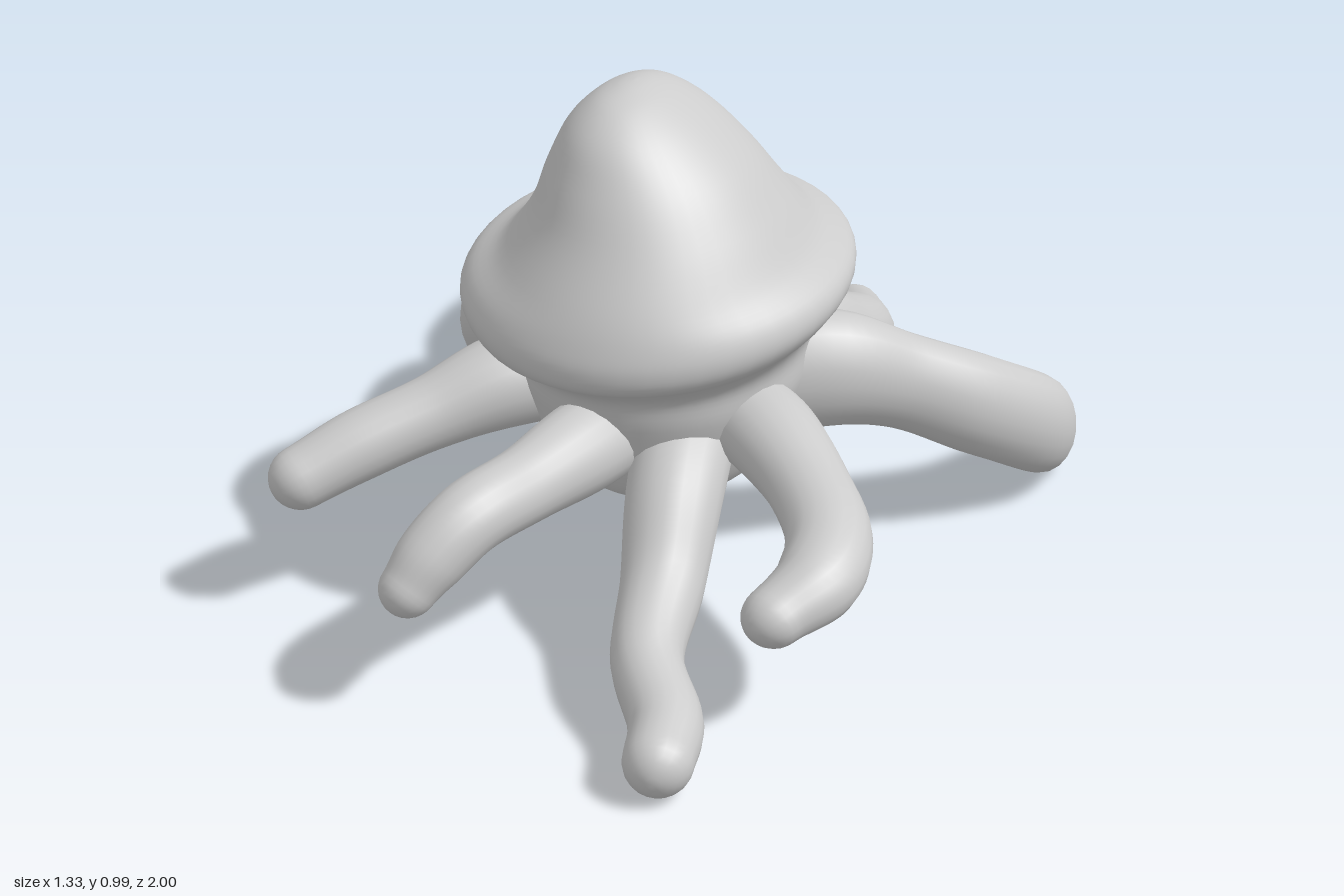
import * as THREE from 'three';
import { mergeVertices } from 'three/addons/utils/BufferGeometryUtils.js';

const material = new THREE.MeshStandardMaterial({ color: 0xcccccc });

// Skin a list of closed rings (equal point counts) into one smooth surface
function loft(name, rings) {
  const n = rings[0].length, index = [];
  for (let i = 0; i < rings.length - 1; i++) {
    for (let j = 0; j < n; j++) {
      const k = (j + 1) % n;
      const a = i * n + j, b = i * n + k, c = a + n, d = b + n;
      index.push(a, c, b, b, c, d);
    }
  }
  let geometry = new THREE.BufferGeometry().setFromPoints(rings.flat());
  geometry.setIndex(index);
  geometry = mergeVertices(geometry, 1e-5);
  geometry.computeVertexNormals();
  const mesh = new THREE.Mesh(geometry, material);
  mesh.name = name;
  return mesh;
}

// Smooth value through evenly spaced knots, u from 0 to 1
function sample(values, u) {
  const f = u * (values.length - 1);
  const i = Math.min(Math.floor(f), values.length - 2);
  const at = (k) => values[Math.max(0, Math.min(values.length - 1, k))];
  const t = f - i, p0 = at(i - 1), p1 = at(i), p2 = at(i + 1), p3 = at(i + 2);
  const m1 = (p2 - p0) / 2, m2 = (p3 - p1) / 2;
  return (2 * t ** 3 - 3 * t * t + 1) * p1 + (t ** 3 - 2 * t * t + t) * m1
    + (3 * t * t - 2 * t ** 3) * p2 + (t ** 3 - t * t) * m2;
}

// Stack of ellipses: [y, xMin, xMax, zMin, zMax, forward tilt]
function stack(name, rows, steps) {
  const rings = [];
  for (let s = 0; s <= steps; s++) {
    const [y, x0, x1, z0, z1, tilt] = rows[0].map((_, c) => sample(rows.map((r) => r[c]), s / steps));
    const cx = (x0 + x1) / 2, cz = (z0 + z1) / 2, rx = (x1 - x0) / 2, rz = (z1 - z0) / 2;
    const ring = [];
    for (let j = 0; j < 48; j++) {
      const a = (j / 48) * Math.PI * 2;
      ring.push(new THREE.Vector3(cx + rx * Math.cos(a), y - tilt * rz * Math.sin(a), cz + rz * Math.sin(a)));
    }
    rings.push(ring);
  }
  return loft(name, rings);
}

// Tapered arm with a rounded tip; points are [x, y, z, radius], tall stretches its height
function tentacle(name, points, tall = 1) {
  const curve = new THREE.CatmullRomCurve3(points.map((p) => new THREE.Vector3(p[0], p[1], p[2])));
  const radii = points.map((p) => p[3]);
  const up = new THREE.Vector3(0, 1, 0), rings = [], steps = 36, caps = 7;
  const addRing = (centre, t, r) => {
    const n = new THREE.Vector3().crossVectors(t, up).normalize();
    const b = new THREE.Vector3().crossVectors(n, t);
    const ring = [];
    for (let j = 0; j < 20; j++) {
      const a = (j / 20) * Math.PI * 2;
      ring.push(centre.clone().addScaledVector(n, r * Math.cos(a)).addScaledVector(b, r * tall * Math.sin(a)));
    }
    rings.push(ring);
  };
  for (let s = 0; s <= steps; s++) {
    addRing(curve.getPoint(s / steps), curve.getTangent(s / steps), sample(radii, s / steps));
  }
  const end = curve.getPoint(1), dir = curve.getTangent(1), r = radii[radii.length - 1];
  for (let s = 1; s <= caps; s++) {
    const a = (s / caps) * Math.PI / 2;
    addRing(end.clone().addScaledVector(dir, r * Math.sin(a)), dir, r * Math.cos(a));
  }
  return loft(name, rings);
}

export function createModel() {
  const group = new THREE.Group();
  group.name = 'octopus';

  // Rounded belly, pinched neck, thick rolled brim and bell-shaped dome
  group.add(stack('body', [
    [0.175, 0.01, 0.01, 0.16, 0.16, 0],
    [0.187, -0.09, 0.10, 0.05, 0.28, 0],
    [0.235, -0.17, 0.18, -0.03, 0.39, 0],
    [0.32, -0.23, 0.23, -0.09, 0.44, 0],
    [0.41, -0.27, 0.265, -0.13, 0.47, 0],
    [0.48, -0.28, 0.27, -0.14, 0.485, 0.03],
    [0.525, -0.31, 0.29, -0.15, 0.53, 0.05],
    [0.565, -0.345, 0.325, -0.17, 0.575, 0.08],
    [0.605, -0.37, 0.35, -0.2, 0.585, 0.085],
    [0.645, -0.352, 0.342, -0.195, 0.575, 0.075],
    [0.69, -0.28, 0.29, -0.125, 0.548, 0.04],
    [0.77, -0.22, 0.235, -0.05, 0.495, 0.02],
    [0.85, -0.19, 0.175, 0.0, 0.445, 0],
    [0.92, -0.155, 0.10, 0.05, 0.395, 0],
    [0.965, -0.11, 0.035, 0.11, 0.335, 0],
    [0.985, -0.07, -0.01, 0.17, 0.27, 0],
    [0.99, -0.04, -0.04, 0.22, 0.22, 0],
  ], 80));

  // Matching pair of broad side arms sweeping backward
  for (const [side, label] of [[1, 'left'], [-1, 'right']]) {
    group.add(tentacle(label + 'SideTentacle', [
      [0.10 * side, 0.38, 0.16, 0.09], [0.27 * side, 0.395, 0.06, 0.09],
      [0.39 * side, 0.345, -0.04, 0.073], [0.51 * side, 0.265, -0.15, 0.076],
      [0.59 * side, 0.17, -0.29, 0.074], [0.57 * side, 0.08, -0.42, 0.062],
    ], 1.3));
  }

  // Rear arms: one long and arched, one short and drooping
  group.add(tentacle('rightBackTentacle', [
    [-0.10, 0.44, 0.06, 0.09], [-0.165, 0.46, -0.13, 0.085], [-0.22, 0.51, -0.29, 0.08],
    [-0.28, 0.575, -0.45, 0.075], [-0.335, 0.55, -0.62, 0.067],
    [-0.395, 0.435, -0.82, 0.06], [-0.51, 0.35, -0.955, 0.049],
  ]));
  group.add(tentacle('leftBackTentacle', [
    [0.10, 0.38, 0.06, 0.09], [0.14, 0.365, -0.13, 0.095], [0.16, 0.28, -0.28, 0.098],
    [0.16, 0.23, -0.41, 0.088], [0.135, 0.21, -0.50, 0.07], [0.10, 0.19, -0.585, 0.06],
  ]));

  // Front corner arms
  group.add(tentacle('leftFrontCornerTentacle', [
    [0.10, 0.38, 0.20, 0.09], [0.26, 0.375, 0.31, 0.09], [0.38, 0.345, 0.42, 0.077],
    [0.46, 0.315, 0.53, 0.077], [0.475, 0.29, 0.63, 0.075], [0.435, 0.265, 0.725, 0.058],
  ], 0.9));
  group.add(tentacle('rightFrontCornerTentacle', [
    [-0.10, 0.40, 0.20, 0.09], [-0.25, 0.40, 0.34, 0.09], [-0.36, 0.36, 0.45, 0.07],
    [-0.46, 0.32, 0.55, 0.067], [-0.535, 0.28, 0.635, 0.06],
  ]));

  // Front arms
  group.add(tentacle('rightFrontTentacle', [
    [0.0, 0.36, 0.28, 0.08], [-0.04, 0.365, 0.47, 0.085], [-0.08, 0.36, 0.63, 0.07],
    [-0.125, 0.35, 0.76, 0.067], [-0.165, 0.30, 0.83, 0.063], [-0.19, 0.255, 0.87, 0.052],
  ]));
  group.add(tentacle('leftFrontTentacle', [
    [0.09, 0.37, 0.26, 0.09], [0.125, 0.29, 0.43, 0.09], [0.16, 0.18, 0.57, 0.077],
    [0.20, 0.12, 0.73, 0.065], [0.285, 0.08, 0.845, 0.066], [0.31, 0.07, 0.935, 0.062],
  ]));

  return group;
}
